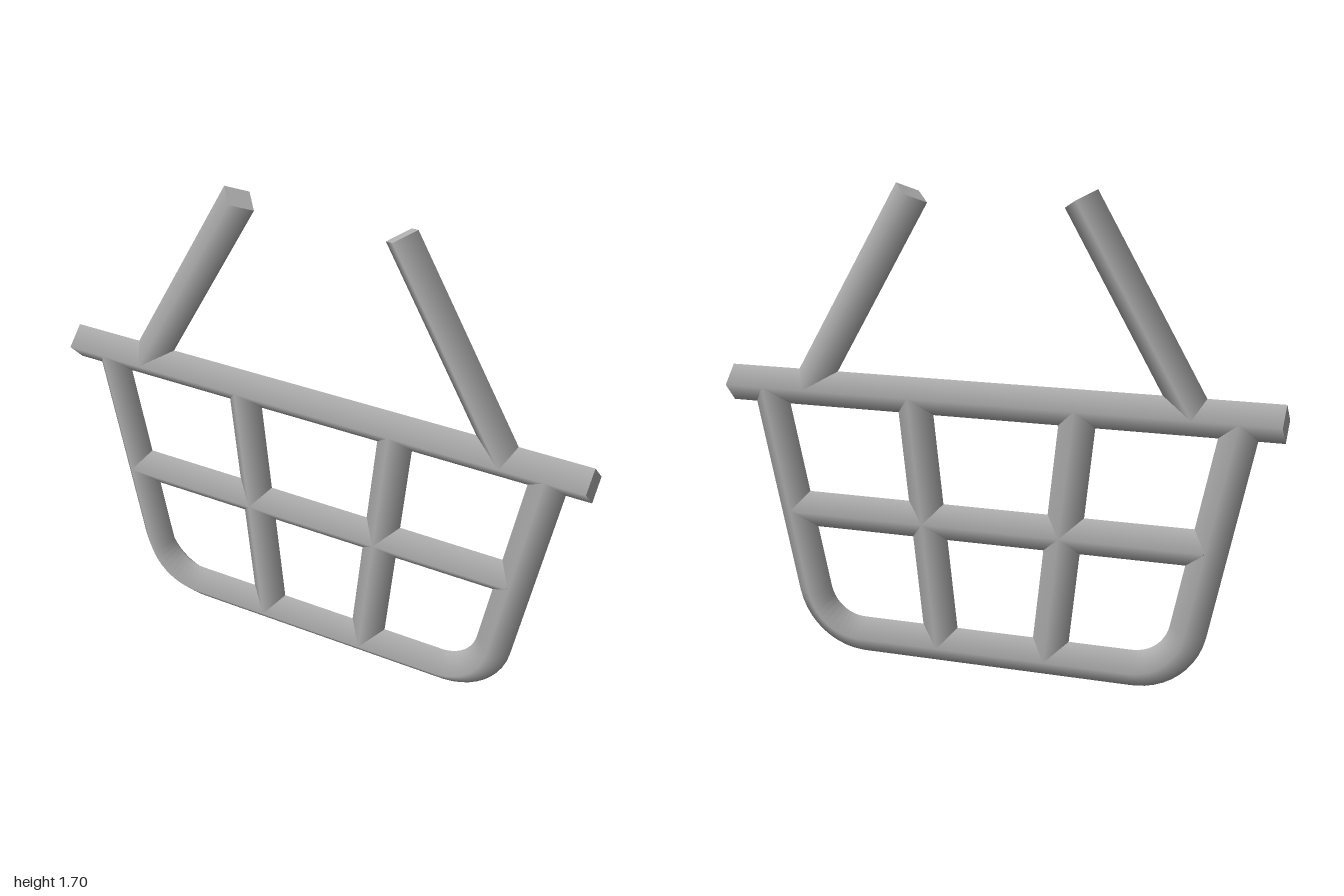
import * as THREE from 'three';

const R = 0.065; // half diagonal of the diamond-section bars

export function createModel() {
  const model = new THREE.Group();
  model.name = 'basket';
  const grey = new THREE.MeshStandardMaterial({ color: 0xb4b4b4 });
  grey.name = 'grey';
  const v = (x, y) => new THREE.Vector3(x, y, 0);

  // straight four-sided bar between two points, corners facing front and back
  function bar(name, a, b) {
    const dir = b.clone().sub(a);
    const mesh = new THREE.Mesh(new THREE.CylinderGeometry(R, R, dir.length(), 4), grey);
    mesh.position.copy(a).lerp(b, 0.5);
    mesh.rotation.z = Math.atan2(-dir.x, dir.y);
    mesh.name = name;
    model.add(mesh);
  }

  bar('topRail', v(-1, 0.968), v(1, 0.968));
  bar('middleRail', v(-0.755, 0.52), v(0.755, 0.52));
  for (const [side, s] of [['left', 1], ['right', -1]]) {
    bar(side + 'Handle', v(s * 0.7, 0.968), v(s * 0.3, 1.67));
    bar(side + 'Upright', v(s * 0.2, 0.067), v(s * 0.3, 0.968));
  }

  // outer frame: sloping sides joined to the base by rounded corners
  const path = new THREE.CurvePath();
  const corner = (a, c, b) => new THREE.CubicBezierCurve3(
    a, a.clone().lerp(c, 0.586), b.clone().lerp(c, 0.586), b);
  const side = (s) => [v(s * 0.858, 0.968), v(s * 0.695, 0.223), v(s * 0.661, 0.067), v(s * 0.5, 0.067)];
  const [l0, l1, l2, l3] = side(-1);
  const [r0, r1, r2, r3] = side(1);
  path.add(new THREE.LineCurve3(l0, l1));
  path.add(corner(l1, l2, l3));
  path.add(new THREE.LineCurve3(l3, r3));
  path.add(corner(r3, r2, r1));
  path.add(new THREE.LineCurve3(r1, r0));
  const frame = new THREE.Mesh(new THREE.TubeGeometry(path, 120, R, 4), grey);
  frame.name = 'outerFrame';
  model.add(frame);

  return model;
}
